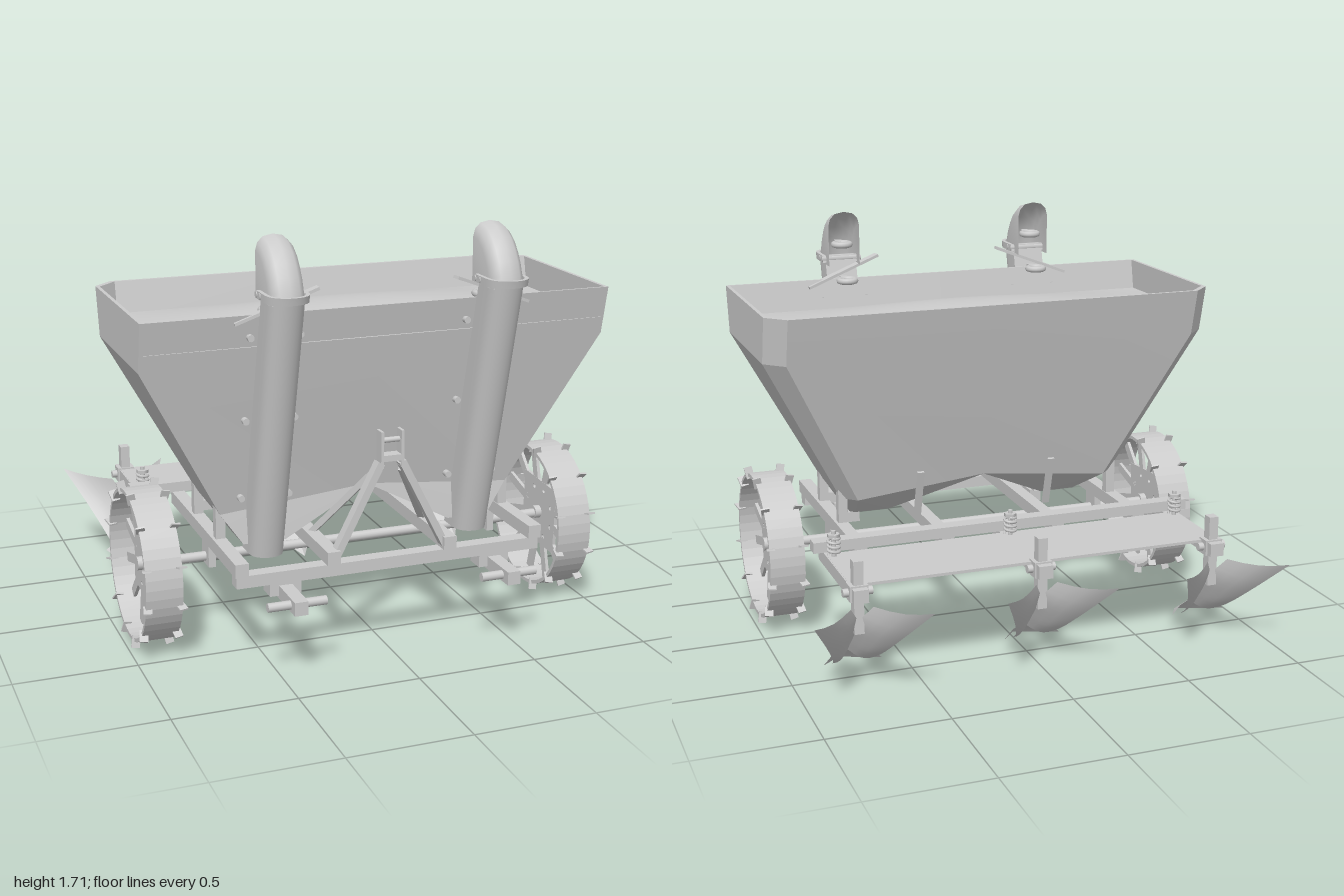
import * as THREE from 'three';
import { toCreasedNormals } from 'three/addons/utils/BufferGeometryUtils.js';

const grey = new THREE.MeshStandardMaterial({ color: 0xcccccc, side: THREE.DoubleSide });
const V = (x, y, z) => new THREE.Vector3(x, y, z);

function add(parent, name, geo, x = 0, y = 0, z = 0) {
  const m = new THREE.Mesh(geo, grey);
  m.name = name;
  m.position.set(x, y, z);
  parent.add(m);
  return m;
}
const box = (p, name, w, h, d, x, y, z) => add(p, name, new THREE.BoxGeometry(w, h, d), x, y, z);

// Rod along x
function rod(p, name, r, len, x, y, z, sides = 16) {
  return add(p, name, new THREE.CylinderGeometry(r, r, len, sides).rotateZ(Math.PI / 2), x, y, z);
}

// Rectangular bar between two points
function bar(p, name, a, b, w, d) {
  const m = box(p, name, w, d, a.distanceTo(b), 0, 0, 0);
  m.position.copy(a).add(b).multiplyScalar(0.5);
  m.lookAt(b);
  return m;
}

// Skin over rows of [x, y, z] points
function loft(rows, closed = false, crease = 0.5) {
  const pos = [], n = rows[0].length;
  for (let i = 0; i < rows.length - 1; i++)
    for (let j = 0; j < (closed ? n : n - 1); j++) {
      const k = (j + 1) % n;
      const a = rows[i][j], b = rows[i][k], c = rows[i + 1][k], d = rows[i + 1][j];
      pos.push(...a, ...b, ...c, ...a, ...c, ...d);
    }
  const g = new THREE.BufferGeometry();
  g.setAttribute('position', new THREE.Float32BufferAttribute(pos, 3));
  g.computeVertexNormals();
  return toCreasedNormals(g, crease);
}

function hopper(root) {
  const g = new THREE.Group();
  g.name = 'hopper';
  root.add(g);
  // Ring: half width, height, front z, back z, chamfer, height at the centre line
  const ring = (x, y, f, b, c, mid = y) => [
    [0, mid, f], [x, y, f], [x, y, b + c], [x - c, y, b],
    [0, mid, b], [-x + c, y, b], [-x, y, b + c], [-x, y, f]];
  const outer = [ring(0.98, 1.42, 0.62, -0.2, 0.08), ring(0.98, 1.22, 0.575, -0.15, 0.08),
    ring(0.63, 0.57, 0.43, 0.02, 0.06, 0.63)];
  add(g, 'hopperShell', loft(outer, true, 0.1));
  add(g, 'hopperRim', loft([outer[0], ring(0.965, 1.42, 0.61, -0.185, 0.08), ring(0.965, 1.25, 0.575, -0.145, 0.08)], true, 0.1));
  // Two funnels closing the bottom
  for (const s of [-1, 1]) {
    const top = [[0, 0.63, 0.43], [0.63, 0.57, 0.43], [0.63, 0.57, 0.08], [0.57, 0.57, 0.02], [0, 0.63, 0.02]];
    const low = [[0.36, 0.44, 0.45], [0.54, 0.44, 0.45], [0.54, 0.44, 0.27], [0.52, 0.44, 0.25], [0.36, 0.44, 0.25]];
    const mir = r => r.map(([x, y, z]) => [s * x, y, z]);
    const end = mir(low.map(() => [0.45, 0.44, 0.35]));
    add(g, 'funnel', loft([mir(top), mir(low), end], true, 0.1));
  }
  // Gently heaped load
  const load = new THREE.PlaneGeometry(1.93, 0.76, 32, 16).rotateX(-Math.PI / 2);
  const p = load.attributes.position;
  for (let i = 0; i < p.count; i++) {
    const x = p.getX(i), z = p.getZ(i) + 0.215;
    p.setY(i, 1.29 + 0.07 * Math.cos(x * 1.6) * Math.cos((z - 0.21) * 4.1));
    p.setZ(i, Math.max(z, -0.165 + Math.max(0, Math.abs(x) - 0.885)));
  }
  load.computeVertexNormals();
  add(g, 'load', load);
}

function elevator(root, x) {
  const g = new THREE.Group();
  g.name = 'elevator';
  g.position.x = x;
  root.add(g);
  // Leaning tube, rounded at the front and flat at the back
  const section = (y, grow = 0) => {
    const zc = 0.455 + (y - 0.42) * 0.26, r = 0.07 + grow, row = [[r, y, zc - 0.08 - grow]];
    for (let i = 0; i <= 12; i++) {
      const a = (i / 12) * Math.PI;
      row.push([r * Math.cos(a), y, zc + (0.08 + grow) * Math.sin(a) ** 0.8]);
    }
    row.push([-r, y, zc - 0.08 - grow]);
    return row;
  };
  add(g, 'tube', loft([section(0.4), section(1.5)], true));
  add(g, 'clamp', loft([section(1.49), section(1.49, 0.016), section(1.52, 0.016), section(1.52)], true));
  for (const z of [0.65, 0.69]) rod(g, 'clampBolt', 0.013, 0.18, 0, 1.505, z, 6);
  // Hood, open towards the hopper
  const radii = [0.215, 0.21, 0.21, 0.215, 0.225, 0.235, 0.24];
  const hood = radii.map((R, i) => {
    const t = (i / 6) * Math.PI / 2;
    return [[-0.07, 0], [-0.07, R - 0.06], [-0.062, R - 0.03], [-0.04, R - 0.008], [0, R],
      [0.04, R - 0.008], [0.062, R - 0.03], [0.07, R - 0.06], [0.07, 0]]
      .map(([u, r]) => [u, 1.48 + r * Math.sin(t), 0.59 + r * Math.cos(t)]);
  });
  add(g, 'hood', loft(hood, false, 0.8));
  // Lifting belt and cups
  bar(g, 'belt', V(0, 1.28, 0.58), V(0, 1.62, 0.67), 0.04, 0.012);
  for (const [y, z] of [[1.42, 0.55], [1.57, 0.63]]) {
    add(g, 'cup', new THREE.TorusGeometry(0.035, 0.014, 8, 20).rotateX(Math.PI / 2), 0, y, z);
    box(g, 'cupArm', 0.03, 0.02, 0.05, 0, y, z + 0.05);
  }
  // Mounting bolts on the hopper wall
  for (const y of [0.64, 0.98, 1.33]) for (const s of [-1, 1])
    add(g, 'mountBolt', new THREE.CylinderGeometry(0.014, 0.014, 0.03, 10).rotateX(Math.PI / 2),
      s * 0.1, y, 0.44 + (y - 0.57) * 0.222);
  // Lower hitch arm
  box(g, 'lowerHitchArm', 0.055, 0.055, 0.37, 0, 0.325, 0.715);
  box(g, 'hitchBracket', 0.13, 0.05, 0.08, 0, 0.335, 0.67);
  rod(g, 'lowerHitchPin', 0.018, 0.24, 0, 0.325, 0.845);
}

function wheel(root, x) {
  const g = new THREE.Group();
  g.name = 'wheel';
  g.position.set(x, 0.34, 0.255);
  root.add(g);
  const ring = new THREE.Shape().absarc(0, 0, 0.315, 0, Math.PI * 2);
  ring.holes.push(new THREE.Path().absarc(0, 0, 0.3, 0, Math.PI * 2, true));
  const rim = new THREE.ExtrudeGeometry(ring, { depth: 0.15, bevelEnabled: false, curveSegments: 24 });
  add(g, 'rim', rim.translate(0, 0, -0.075).rotateY(Math.PI / 2));
  // Square hub plate with bolt holes
  const plate = new THREE.Shape([[-1, -1], [1, -1], [1, 1], [-1, 1]].map(([a, b]) => new THREE.Vector2(a * 0.145, b * 0.145)));
  for (let i = 0; i < 8; i++) {
    const a = i * Math.PI / 4 + 0.3;
    plate.holes.push(new THREE.Path().absarc(0.115 * Math.cos(a), 0.115 * Math.sin(a), 0.011, 0, Math.PI * 2, true));
  }
  const hub = new THREE.ExtrudeGeometry(plate, { depth: 0.015, bevelEnabled: false });
  add(g, 'hubPlate', hub.translate(0, 0, -0.0075).rotateY(Math.PI / 2)).rotation.x = 0.06;
  rod(g, 'hub', 0.028, 0.07, 0, 0, 0);
  for (let i = 0; i < 12; i++) {
    const arm = new THREE.Group();
    arm.name = 'spokeAndLugs';
    arm.rotation.x = (i + 0.5) * Math.PI / 6;
    g.add(arm);
    box(arm, 'spoke', 0.014, 0.19, 0.04, 0, 0.21, 0);
    for (const s of [-1, 1]) box(arm, 'lug', 0.035, 0.05, 0.007, s * 0.068, 0.316, 0.0).rotation.z = -s * 0.2;
  }
}

function plough(root, x) {
  const g = new THREE.Group();
  g.name = 'plough';
  g.position.x = x;
  root.add(g);
  box(g, 'arm', 0.06, 0.055, 0.54, 0, 0.428, -0.44);
  box(g, 'shank', 0.04, 0.3, 0.045, 0, 0.41, -0.65);
  box(g, 'shankClamp', 0.075, 0.065, 0.06, 0, 0.43, -0.65);
  rod(g, 'clampBolt', 0.017, 0.12, 0, 0.43, -0.65, 12);
  // Spring on its bolt
  const coil = Array.from({ length: 41 }, (_, i) =>
    V(0.024 * Math.cos(i * 0.6), 0.465 + i * 0.0018, -0.305 + 0.024 * Math.sin(i * 0.6)));
  add(g, 'spring', new THREE.TubeGeometry(new THREE.CatmullRomCurve3(coil), 80, 0.006, 6));
  add(g, 'springBolt', new THREE.CylinderGeometry(0.01, 0.01, 0.12, 10), 0, 0.505, -0.305);
  add(g, 'springNut', new THREE.CylinderGeometry(0.027, 0.027, 0.014, 6), 0, 0.545, -0.305);
  for (const s of [-1, 1]) {
    // Curved wing between spine and outer edge
    const spine = new THREE.CatmullRomCurve3([V(0, 0.12, -0.48), V(0, 0.2, -0.565), V(0, 0.3, -0.65), V(s * 0.045, 0.385, -0.715)]);
    const edge = new THREE.CatmullRomCurve3([V(s * 0.08, 0.1, -0.55), V(s * 0.1, 0.15, -0.635), V(s * 0.15, 0.25, -0.75), V(s * 0.235, 0.4, -0.9)]);
    const rows = [];
    for (let i = 0; i <= 10; i++) {
      const a = spine.getPoint(i / 10), b = edge.getPoint(i / 10);
      rows.push([0, 0.25, 0.5, 0.75, 1].map(t => {
        const q = a.clone().lerp(b, t), sag = Math.sin(t * Math.PI) * 0.012;
        return [q.x, q.y - sag, q.z - sag];
      }));
    }
    add(g, 'wing', loft(rows));
    // Barbed share
    add(g, 'share', loft([[[0, 0.03, -0.34], [0, 0.14, -0.5]], [[s * 0.12, 0.1, -0.56], [s * 0.08, 0.135, -0.55]]]));
  }
}

export function createModel() {
  const root = new THREE.Group();
  root.name = 'seedPlanter';
  hopper(root);
  // Frame
  box(root, 'frontBeam', 1.3, 0.05, 0.06, 0, 0.385, 0.68);
  box(root, 'rearBeam', 1.68, 0.045, 0.06, 0, 0.485, -0.24);
  box(root, 'middleBeam', 1.24, 0.045, 0.05, 0, 0.435, -0.1);
  box(root, 'deck', 1.58, 0.012, 0.37, 0, 0.45, -0.455);
  rod(root, 'axle', 0.02, 1.84, 0, 0.335, 0.255);
  for (const s of [-1, 1]) {
    for (const x of [0.25, 0.63]) box(root, 'rail', 0.055, 0.055, 0.95, s * x, 0.437, 0.245);
    box(root, 'axleHanger', 0.03, 0.12, 0.1, s * 0.63, 0.36, 0.255);
    for (const z of [0.08, 0.4]) box(root, 'hopperPost', 0.04, 0.17, 0.04, s * 0.625, 0.53, z);
    bar(root, 'hopperStay', V(s * 0.3, 0.46, 0.04), V(s * 0.3, 0.68, -0.02), 0.03, 0.012);
    elevator(root, s * 0.45);
    wheel(root, s * 0.9);
    // Upper hitch mast
    bar(root, 'mastLeg', V(s * 0.25, 0.4, 0.68), V(s * 0.045, 0.8, 0.68), 0.045, 0.03);
    box(root, 'mastFork', 0.012, 0.15, 0.05, s * 0.043, 0.855, 0.68);
    bar(root, 'mastBrace', V(s * 0.06, 0.76, 0.66), V(s * 0.25, 0.45, 0.44), 0.03, 0.025);
  }
  box(root, 'mastBridge', 0.09, 0.025, 0.05, 0, 0.82, 0.68);
  rod(root, 'mastPin', 0.011, 0.09, 0, 0.89, 0.68);
  for (const x of [-0.765, 0, 0.765]) plough(root, x);
  return root;
}
